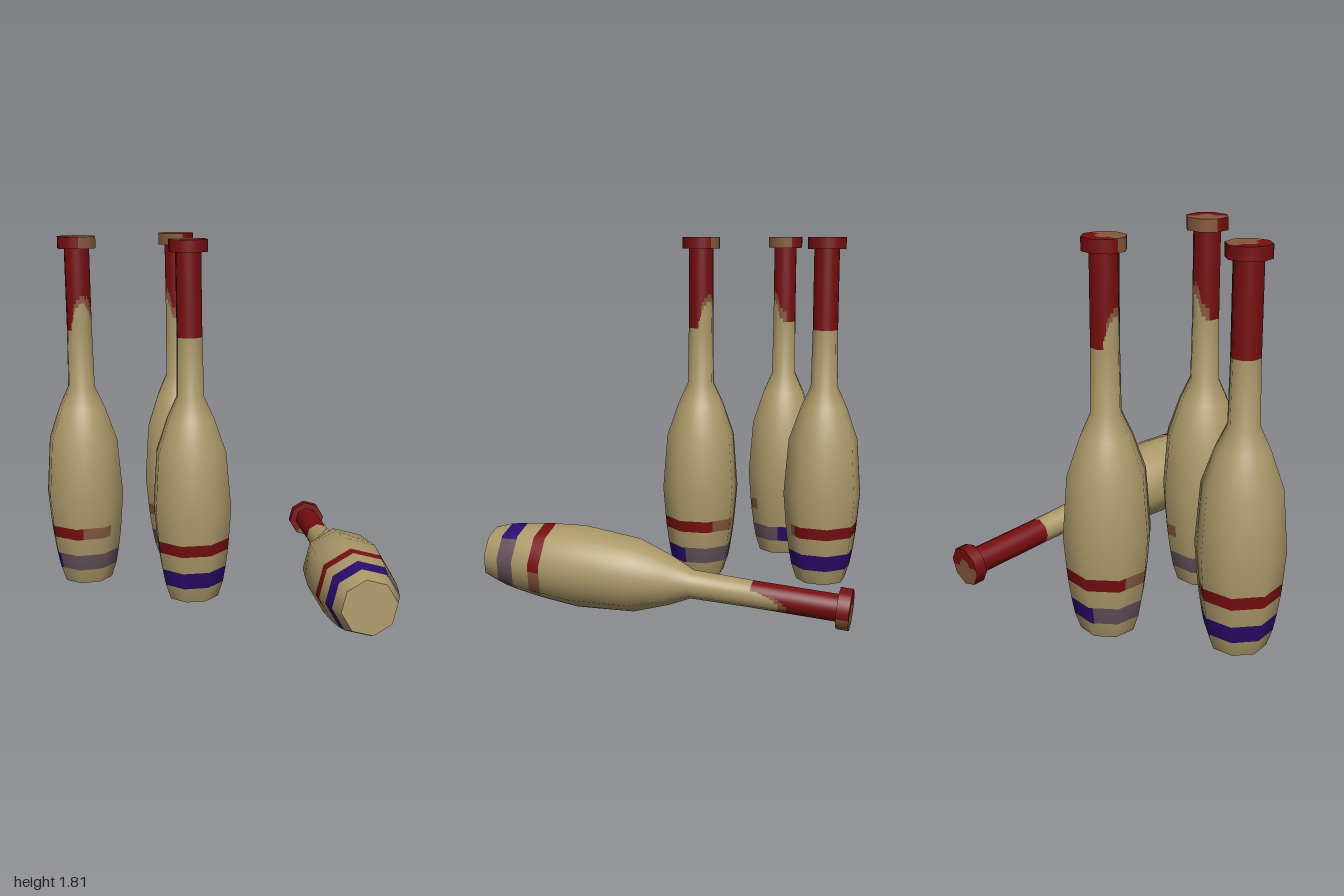
import * as THREE from 'three';

const SIDES = 8, SPLIT = 8; // octagonal pin, each side split finely for paint edges
const WOOD = 0, RED = 1, WORN_RED = 2, BLUE = 3, WORN_BLUE = 4;
const rad = THREE.MathUtils.degToRad;

function makeMaterials() {
  const colours = [
    ['bareWood', 0xab9869], ['redPaint', 0x760e10], ['wornRedPaint', 0x85583c],
    ['bluePaint', 0x2a0c6c], ['wornBluePaint', 0x65525c],
  ];
  return colours.map(([name, color]) => {
    const m = new THREE.MeshStandardMaterial({ color });
    m.name = name;
    return m;
  });
}

// Lowest edge of the neck paint by angle in degrees: a scuff climbs up one side
const SCUFF = [[-180, 1.355], [-72, 1.355], [-50, 1.46], [-10, 1.5], [20, 1.46], [50, 1.37], [80, 1.355], [180, 1.355]];
function scuffHeight(a) {
  const i = Math.max(1, SCUFF.findIndex((p) => a <= p[0]));
  const [a0, h0] = SCUFF[i - 1], [a1, h1] = SCUFF[i];
  return THREE.MathUtils.mapLinear(a, a0, a1, h0, h1);
}

// Paint scheme of the body
function bodyPaint(a, y) {
  if (y > 1.355) {
    const low = scuffHeight(a);
    if (y < low) return WOOD;
    const worn = a > -55 && a < 78 ? (a > 10 ? 0.06 : 0.035) : 0;
    return y < low + worn ? WORN_RED : RED;
  }
  if (y > 0.275 && y < 0.335) { // red stripe, partly rubbed off
    if (a > 17 && a < 105) return WOOD;
    return a > -35 && a < 120 ? WORN_RED : RED;
  }
  if (y > 0.1 && y < 0.185) return a > -85 && a < 60 ? WORN_BLUE : BLUE;
  return WOOD;
}
const capSidePaint = (a) => (a > -20 && a < 88 ? WORN_RED : RED);
const capTopPaint = (a, y, r) => (r < 0.035 || (a > -30 && a < 150) ? WORN_RED : RED);

// Smooth eight-sided strip through [radius, height] points, one material per quad
function ringStrip(points, paint) {
  const segNormals = points.slice(1).map(([r, y], i) =>
    new THREE.Vector2(y - points[i][1], points[i][0] - r).normalize());
  const rows = [];
  points.forEach(([r, y], i) => {
    const n = (segNormals[i - 1] || segNormals[0]).clone().add(segNormals[i] || segNormals[i - 1]).normalize();
    if (i > 0) {
      const p = points[i - 1], pn = rows[rows.length - 1];
      const steps = y > 1.4 ? Math.ceil(Math.hypot(r - p[0], y - p[1]) / 0.02) : 1;
      for (let s = 1; s < steps; s++) {
        const t = s / steps;
        rows.push({
          r: p[0] + (r - p[0]) * t, y: p[1] + (y - p[1]) * t,
          n: new THREE.Vector2().lerpVectors(pn.n0 || pn.n, n, t), n0: pn.n0 || pn.n,
        });
      }
    }
    rows.push({ r, y, n });
  });

  const cols = SIDES * SPLIT, pos = [], nor = [], faces = [[], [], [], [], []];
  const corner = (k) => [Math.sin(k * 2 * Math.PI / SIDES), Math.cos(k * 2 * Math.PI / SIDES)];
  for (const { r, y, n } of rows) {
    for (let c = 0; c <= cols; c++) {
      const k = Math.floor(c / SPLIT), t = (c % SPLIT) / SPLIT;
      const [x0, z0] = corner(k), [x1, z1] = corner(k + 1);
      const x = x0 + (x1 - x0) * t, z = z0 + (z1 - z0) * t;
      const v = new THREE.Vector3(x * n.x, n.y, z * n.x).normalize();
      pos.push(x * r, y, z * r);
      nor.push(v.x, v.y, v.z);
    }
  }
  for (let j = 0; j < rows.length - 1; j++) {
    const y = (rows[j].y + rows[j + 1].y) / 2, r = (rows[j].r + rows[j + 1].r) / 2;
    for (let c = 0; c < cols; c++) {
      let a = (c + 0.5) * 360 / cols;
      if (a > 180) a -= 360;
      const i = j * (cols + 1) + c, u = i + cols + 1;
      const list = faces[paint(a, y, r)];
      if (rows[j].r > 0) list.push(i, i + 1, u + 1);
      else list.push(i, u + 1, u);
      if (rows[j].r > 0 && rows[j + 1].r > 0) list.push(i, u + 1, u);
    }
  }
  const g = new THREE.BufferGeometry();
  g.setAttribute('position', new THREE.Float32BufferAttribute(pos, 3));
  g.setAttribute('normal', new THREE.Float32BufferAttribute(nor, 3));
  g.setIndex(faces.flat());
  let start = 0;
  faces.forEach((f, m) => {
    if (f.length) g.addGroup(start, f.length, m);
    start += f.length;
  });
  return g;
}

export function createModel() {
  const model = new THREE.Group();
  model.name = 'jugglingPins';
  const materials = makeMaterials();

  // Parts shared by every pin
  const parts = {
    base: ringStrip([[0, 0.02], [0.13, 0.02]], () => WOOD),
    body: ringStrip([
      [0.13, 0.02], [0.157, 0.1], [0.173, 0.185], [0.186, 0.275], [0.192, 0.335], [0.205, 0.49],
      [0.182, 0.78], [0.122, 0.95], [0.071, 1.06], [0.066, 1.355], [0.066, 1.77],
    ], bodyPaint),
    capUnderside: ringStrip([[0.066, 1.77], [0.1, 1.77]], capSidePaint),
    capSide: ringStrip([[0.1, 1.77], [0.1, 1.83]], capSidePaint),
    capTop: ringStrip([[0.1, 1.83], [0, 1.83]], capTopPaint),
  };

  function addPin(name, x, y, z, spin) {
    const pin = new THREE.Group();
    pin.name = name;
    const spun = new THREE.Group();
    spun.name = name + 'Parts';
    spun.rotation.y = rad(spin);
    for (const [part, geometry] of Object.entries(parts)) {
      const mesh = new THREE.Mesh(geometry, materials);
      mesh.name = part;
      spun.add(mesh);
    }
    pin.add(spun);
    pin.position.set(x, y, z);
    model.add(pin);
    return pin;
  }

  // Three standing pins
  addPin('standingPinRight', -0.64, 0, -0.79, 0);
  addPin('standingPinFront', -0.35, 0, -0.21, 129);
  addPin('standingPinBack', -0.035, 0, -0.79, -103);

  // One pin lying on its side
  const fallen = addPin('fallenPin', -0.19, 0.2565, 0.942, 128);
  fallen.rotation.order = 'YXZ';
  fallen.rotation.set(rad(-94.3), rad(-31), 0);

  return model;
}
